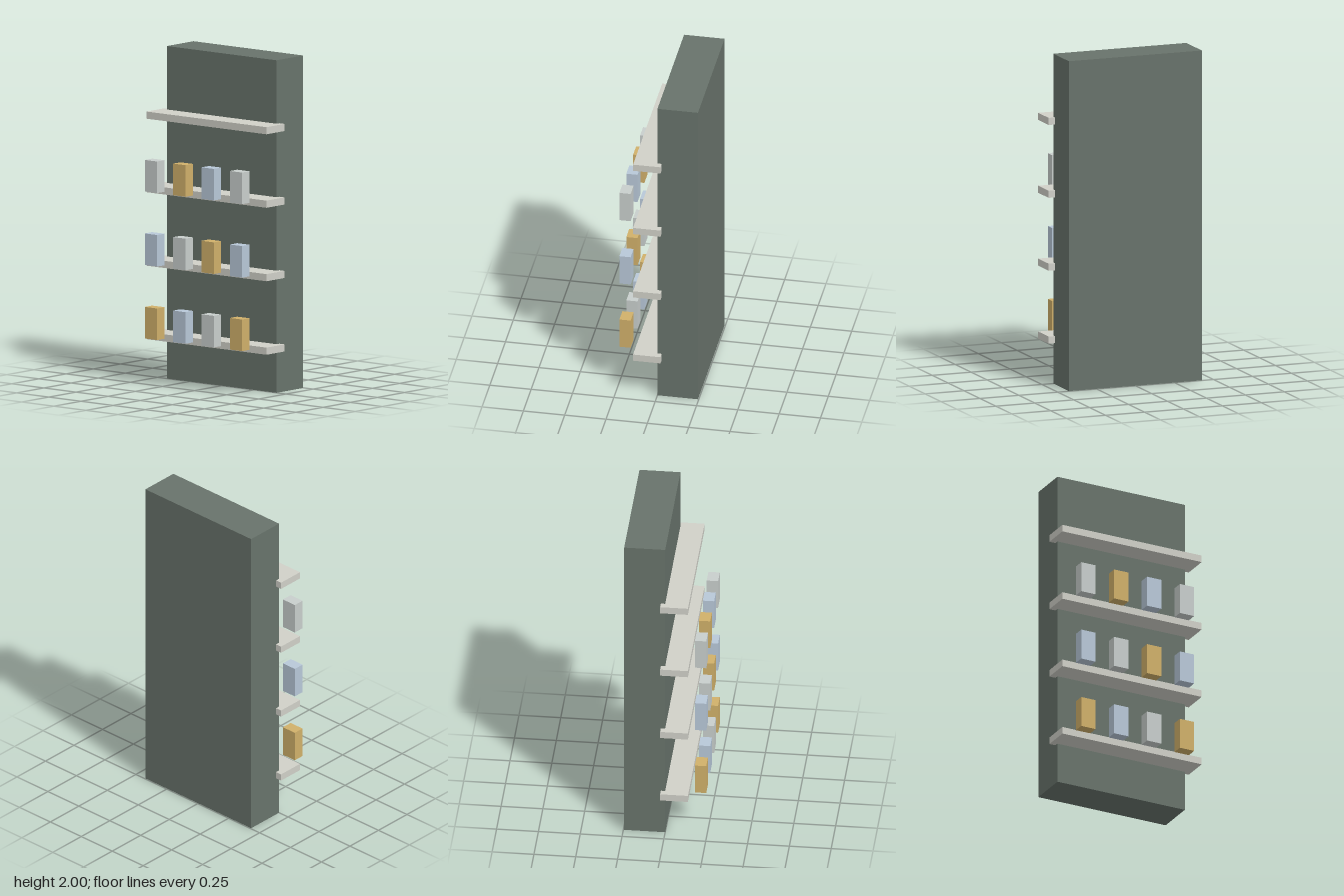
import * as THREE from 'three';

export function createModel() {
  const model = new THREE.Group();
  const material = (color) => new THREE.MeshStandardMaterial({ color });
  const panelMat = material(0x68736b);
  const shelfMat = material(0xd0d0c8);
  const amber = material(0xd0b06a);
  const blue = material(0xb8c8d8);
  const pale = material(0xc8cecc);

  function addBox(name, mat, size, x, y, z) {
    const mesh = new THREE.Mesh(new THREE.BoxGeometry(...size), mat);
    mesh.name = name;
    mesh.position.set(x, y, z);
    model.add(mesh);
  }

  // Tall back panel
  addBox('backPanel', panelMat, [0.854, 2, 0.245], 0, 1, -0.1225);

  // Four shelves; the lower three each carry a row of cartons
  const cartonColors = [
    [amber, blue, pale, amber],
    [blue, pale, amber, blue],
    [pale, amber, blue, pale],
    [],
  ];
  cartonColors.forEach((row, i) => {
    const y = 0.271 + i * 0.442;
    addBox(`shelf${i + 1}`, shelfMat, [0.934, 0.043, 0.166], 0, y, 0.057);

    // Cartons float just ahead of the shelf edge
    row.forEach((mat, j) => {
      addBox(`carton${i + 1}_${j + 1}`, mat, [0.096, 0.19, 0.068],
        -0.346 + j * 0.2205, y + 0.097, 0.208);
    });
  });

  return model;
}
